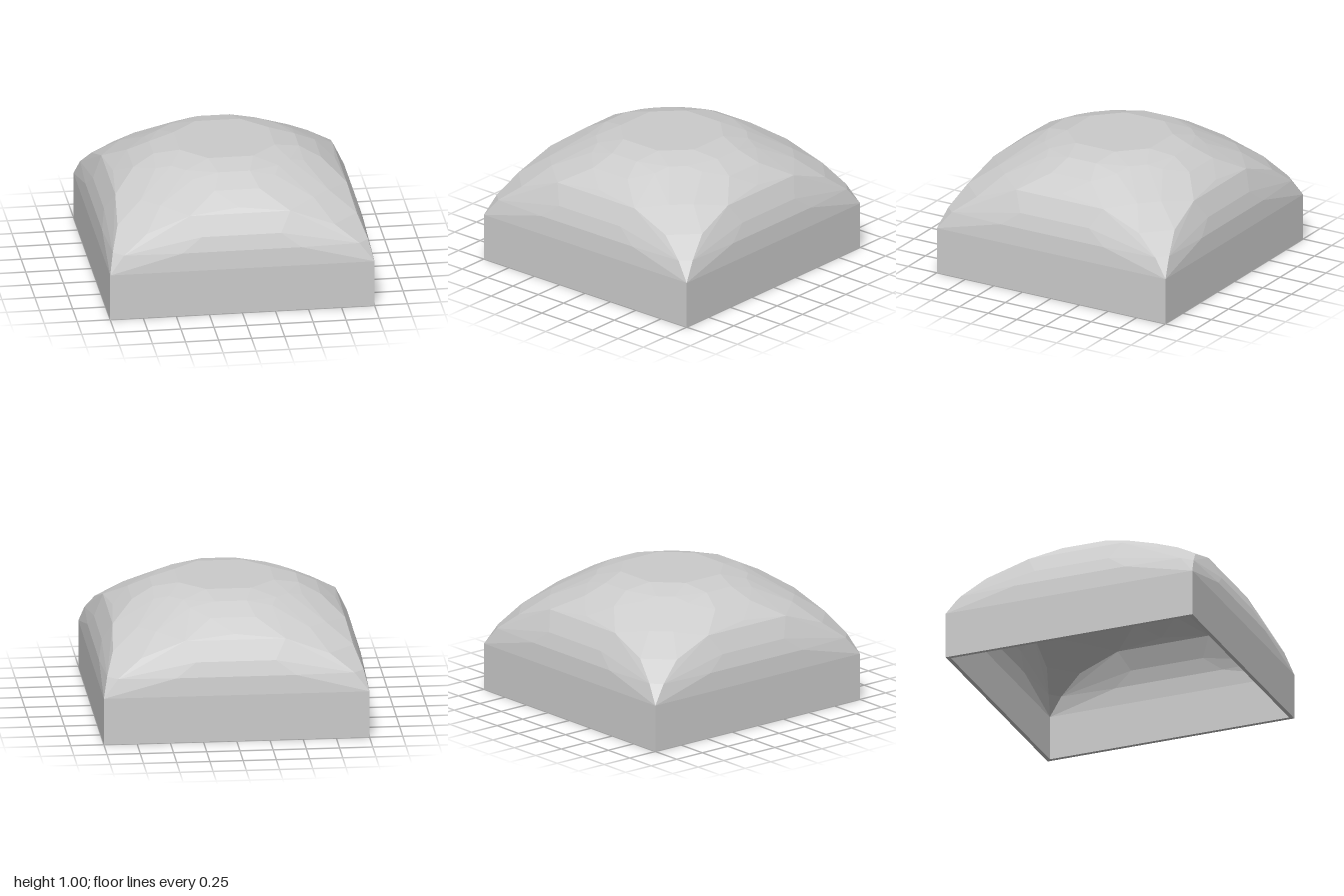
import * as THREE from 'three';
import { ConvexGeometry } from 'three/addons/geometries/ConvexGeometry.js';

// One eighth of the shell; mirrored and swapped to give the whole outline
const OCTANT = [
  [0, 0.993, 0.39], [0.17, 1, 0.36],                       // flat crown
  [0.12, 0.96, 0.55], [0.35, 0.95, 0.45], [0.31, 0.92, 0.56],
  [0.17, 0.88, 0.71], [0.58, 0.785, 0.71],                 // shoulder
  [0, 0.79, 0.84], [0.38, 0.755, 0.875], [0.71, 0.64, 0.905], [0.89, 0.5, 0.965], // crease
  [0.3, 0.61, 0.95], [0.45, 0.5, 0.985],                   // bowed upper wall
  [1, 0.36, 1], [1, 0, 1],                                 // square base
];

function shellPoints(scale) {
  const unique = new Map();
  for (const [a, y, b] of OCTANT) {
    for (const [x, z] of [[a, b], [b, a]]) {
      for (const sx of [-1, 1]) {
        for (const sz of [-1, 1]) {
          const p = new THREE.Vector3(sx * x, y, sz * z).multiplyScalar(scale);
          unique.set(p.toArray().map((v) => (v + 0).toFixed(4).replace('-0.0000', '0.0000')).join(), p);
        }
      }
    }
  }
  return [...unique.values()];
}

// Faceted hull without its floor; inward turns the faces to look inside
function openHull(scale, inward) {
  const source = new ConvexGeometry(shellPoints(scale)).getAttribute('position');
  const out = [];
  for (let i = 0; i < source.count; i += 3) {
    const tri = [0, 1, 2].map((k) => new THREE.Vector3().fromBufferAttribute(source, i + k));
    if (tri.every((p) => p.y < 1e-5)) continue;
    if (inward) tri.reverse();
    tri.forEach((p) => out.push(p.x, p.y, p.z));
  }
  const geometry = new THREE.BufferGeometry();
  geometry.setAttribute('position', new THREE.Float32BufferAttribute(out, 3));
  geometry.computeVertexNormals();
  return geometry;
}

function square(Path, h) {
  return new Path([[-h, -h], [h, -h], [h, h], [-h, h]].map(([x, y]) => new THREE.Vector2(x, y)));
}

export function createModel() {
  const group = new THREE.Group();
  group.name = 'hollowDomeCap';
  const material = new THREE.MeshStandardMaterial({ color: 0xcccccc, flatShading: true });
  const add = (name, geometry) => {
    const mesh = new THREE.Mesh(geometry, material);
    mesh.name = name;
    group.add(mesh);
  };
  const inner = 0.97;

  add('outerShell', openHull(1, false));
  add('innerShell', openHull(inner, true));

  // Downward-facing rim joining the two shells
  const rim = square(THREE.Shape, 1);
  rim.holes.push(square(THREE.Path, inner));
  add('bottomRim', new THREE.ShapeGeometry(rim).rotateX(Math.PI / 2));

  return group;
}
